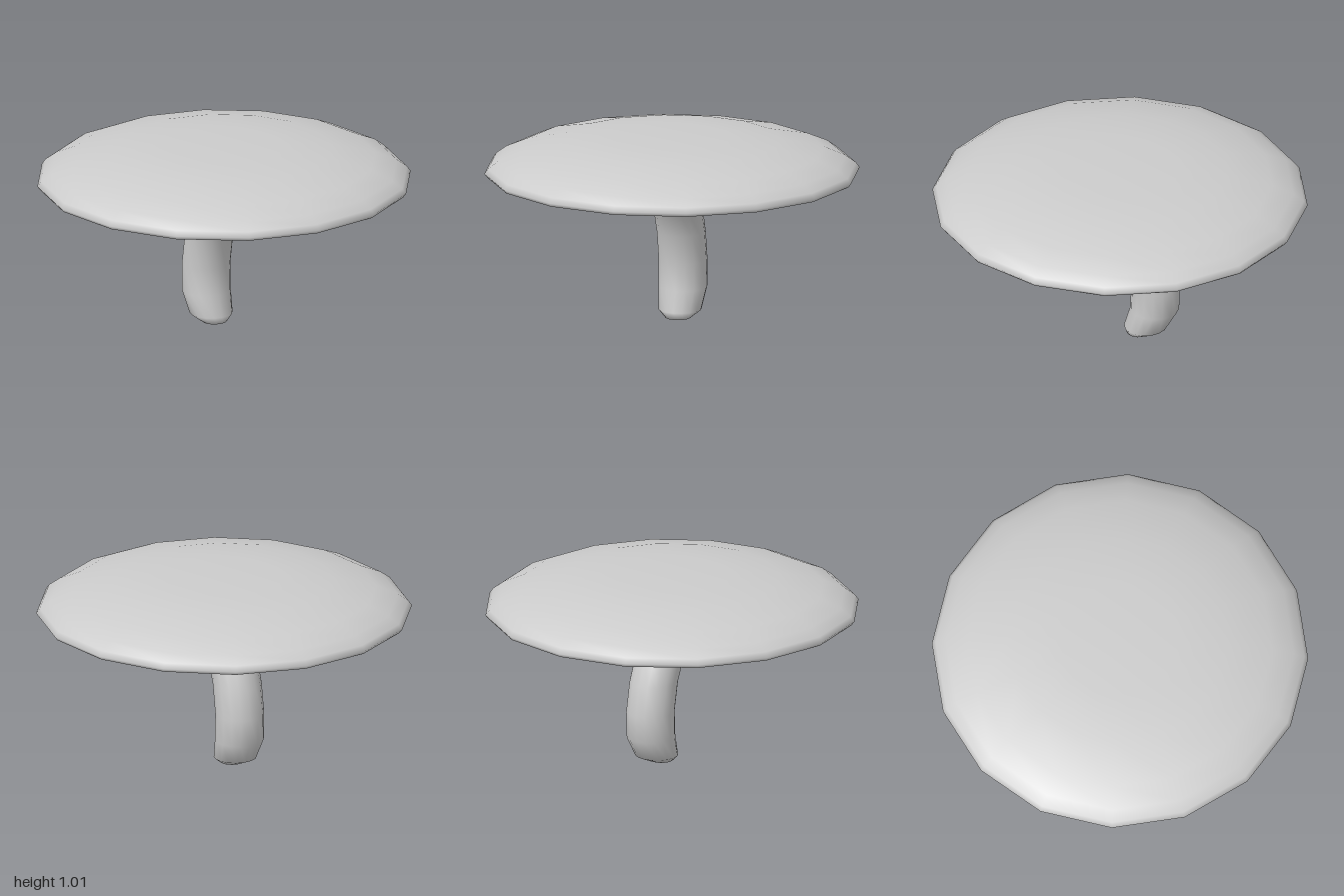
import * as THREE from 'three';

const SIDES = 16;

// Cap rings, top to underside: [radius, y]
const capRings = [
  [0, 1.015], [0.32, 1.013], [0.58, 0.995], [0.81, 0.945], [0.925, 0.895],
  [0.98, 0.855], [1, 0.828], [0.985, 0.808], [0.94, 0.803], [0.6, 0.8], [0.36, 0.773],
];

// Stem rings, top to foot: [half width, front z, back z, y]
const stemRings = [
  [0.2, 0.19, -0.21, 0.738], [0.148, 0.1, -0.19, 0.68], [0.131, 0.025, -0.24, 0.59],
  [0.13, -0.03, -0.29, 0.46], [0.13, -0.06, -0.32, 0.3], [0.13, -0.055, -0.315, 0.155],
  [0.115, -0.022, -0.25, 0.043], [0.066, -0.036, -0.16, 0.004], [0, -0.1, -0.1, 0],
];

export function createModel() {
  const rings = [
    ...capRings.map(([r, y]) => ({ rx: r, rz: r, z: 0, y })),
    ...stemRings.map(([rx, f, b, y]) => ({ rx, rz: (f - b) / 2, z: (f + b) / 2, y })),
  ];

  // One continuous skin, so cap and stem shade smoothly into each other
  const positions = [];
  for (const { rx, rz, z, y } of rings) {
    for (let j = 0; j < SIDES; j++) {
      const a = (j / SIDES) * Math.PI * 2;
      positions.push(rx * Math.cos(a), y, z + rz * Math.sin(a));
    }
  }
  const strip = (from, to) => {
    const index = [];
    for (let i = from; i < to; i++) {
      for (let j = 0; j < SIDES; j++) {
        const k = (j + 1) % SIDES;
        const a = i * SIDES + j, b = i * SIDES + k;
        const c = a + SIDES, d = b + SIDES;
        if (rings[i].rx > 0) index.push(a, b, c);
        if (rings[i + 1].rx > 0) index.push(b, d, c);
        else index.push(a, b, c);
      }
    }
    return index;
  };
  const skin = new THREE.BufferGeometry();
  skin.setAttribute('position', new THREE.Float32BufferAttribute(positions, 3));
  skin.setIndex(strip(0, rings.length - 1));
  skin.computeVertexNormals();

  // The pole points point straight up and straight down
  const normal = skin.attributes.normal;
  for (let j = 0; j < SIDES; j++) {
    normal.setXYZ(j, 0, 1, 0);
    normal.setXYZ((rings.length - 1) * SIDES + j, 0, -1, 0);
  }

  // Split the skin into its two parts
  const material = new THREE.MeshStandardMaterial({ color: 0xcccccc, roughness: 0.8 });
  const group = new THREE.Group();
  group.name = 'mushroom';
  const addPart = (name, from, to) => {
    const geometry = skin.clone();
    geometry.setIndex(strip(from, to));
    const mesh = new THREE.Mesh(geometry, material);
    mesh.name = name;
    group.add(mesh);
  };
  addPart('cap', 0, capRings.length - 1);
  addPart('stem', capRings.length - 1, rings.length - 1);
  return group;
}
